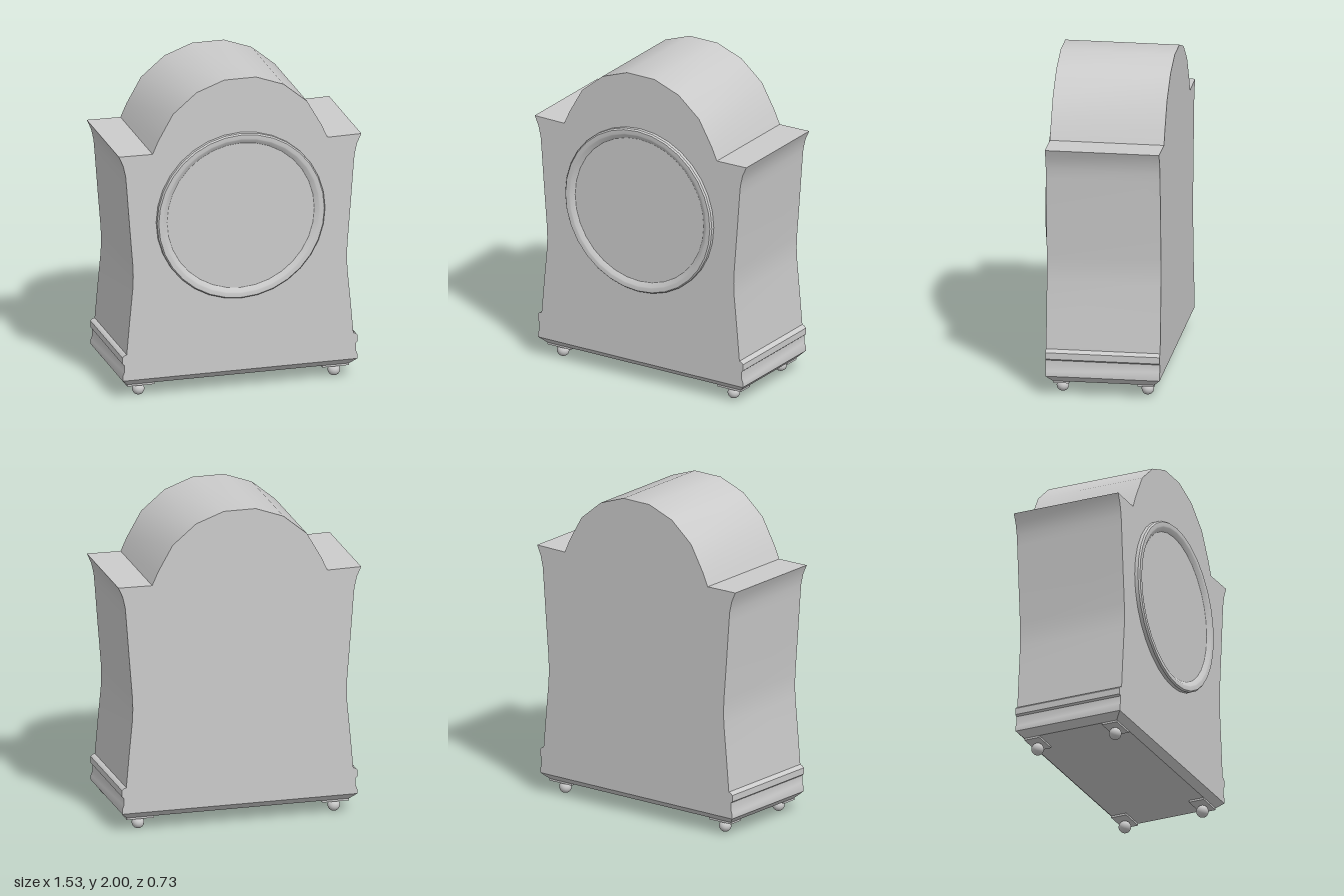
import * as THREE from 'three';
import { toCreasedNormals } from 'three/addons/utils/BufferGeometryUtils.js';

const FRONT = 0.333, BACK = -0.366;
const material = new THREE.MeshStandardMaterial({ color: 0xcccccc });

function part(parent, name, geometry, x = 0, y = 0, z = 0) {
  const mesh = new THREE.Mesh(geometry, material);
  mesh.name = name;
  mesh.position.set(x, y, z);
  parent.add(mesh);
  return mesh;
}

// Right half of the case outline, from the plinth up to the crown
const outline = [
  [0.74, 0.125], [0.74, 0.155], [0.73, 0.18], [0.73, 0.225], [0.742, 0.235],
  [0.742, 0.275], [0.73, 0.287], [0.715, 0.292],
  [0.697, 0.5], [0.677, 0.71], [0.674, 0.79], [0.677, 0.87], [0.697, 1.12],
  [0.716, 1.37], [0.722, 1.44], [0.738, 1.51], [0.765, 1.57],
  [0.552, 1.567], [0.515, 1.65], [0.423, 1.812], [0.275, 1.936], [0.1, 2.0],
];

function caseGeometry() {
  const mirrored = outline.map(([x, y]) => [-x, y]).reverse();
  const shape = new THREE.Shape([...outline, ...mirrored].map(([x, y]) => new THREE.Vector2(x, y)));
  const geometry = new THREE.ExtrudeGeometry(shape, { depth: FRONT - BACK, bevelEnabled: false });
  geometry.translate(0, 0, BACK);
  return toCreasedNormals(geometry, 0.55);
}

// Box whose lower face is drawn in on all sides
function taperedBase(width, height, depth, inset) {
  const geometry = new THREE.BoxGeometry(width, height, depth);
  const p = geometry.attributes.position;
  for (let i = 0; i < p.count; i++) {
    if (p.getY(i) < 0) {
      p.setX(i, p.getX(i) - Math.sign(p.getX(i)) * inset);
      p.setZ(i, p.getZ(i) - Math.sign(p.getZ(i)) * inset);
    }
  }
  const flat = geometry.toNonIndexed();
  flat.computeVertexNormals();
  return flat;
}

export function createModel() {
  const clock = new THREE.Group();
  clock.name = 'mantelClock';
  const midZ = (FRONT + BACK) / 2;

  part(clock, 'case', caseGeometry());
  part(clock, 'base', taperedBase(1.48, 0.04, FRONT - BACK, 0.04), 0, 0.105, midZ);

  // Round bezel sloping in to the recessed dial
  const profile = [[0.53, 0], [0.53, 0.022], [0.522, 0.032], [0.497, 0.032], [0.49, 0.03], [0.465, 0.012], [0, 0.012]];
  const dial = new THREE.LatheGeometry(profile.map(([r, h]) => new THREE.Vector2(r, h)), 32);
  dial.rotateX(Math.PI / 2);
  part(clock, 'dialAndBezel', toCreasedNormals(dial, 0.5), 0, 1.125, FRONT);

  // Corner pads with ball feet
  for (const side of [-1, 1]) {
    for (const end of [-1, 1]) {
      const foot = new THREE.Group();
      foot.name = (end > 0 ? 'front' : 'back') + (side > 0 ? 'Left' : 'Right') + 'Foot';
      part(foot, 'pad', new THREE.BoxGeometry(0.17, 0.014, 0.1), side * 0.615, 0.08, midZ + end * 0.26);
      part(foot, 'ball', new THREE.SphereGeometry(0.038, 20, 14), side * 0.617, 0.038, midZ + end * 0.26);
      clock.add(foot);
    }
  }
  return clock;
}
